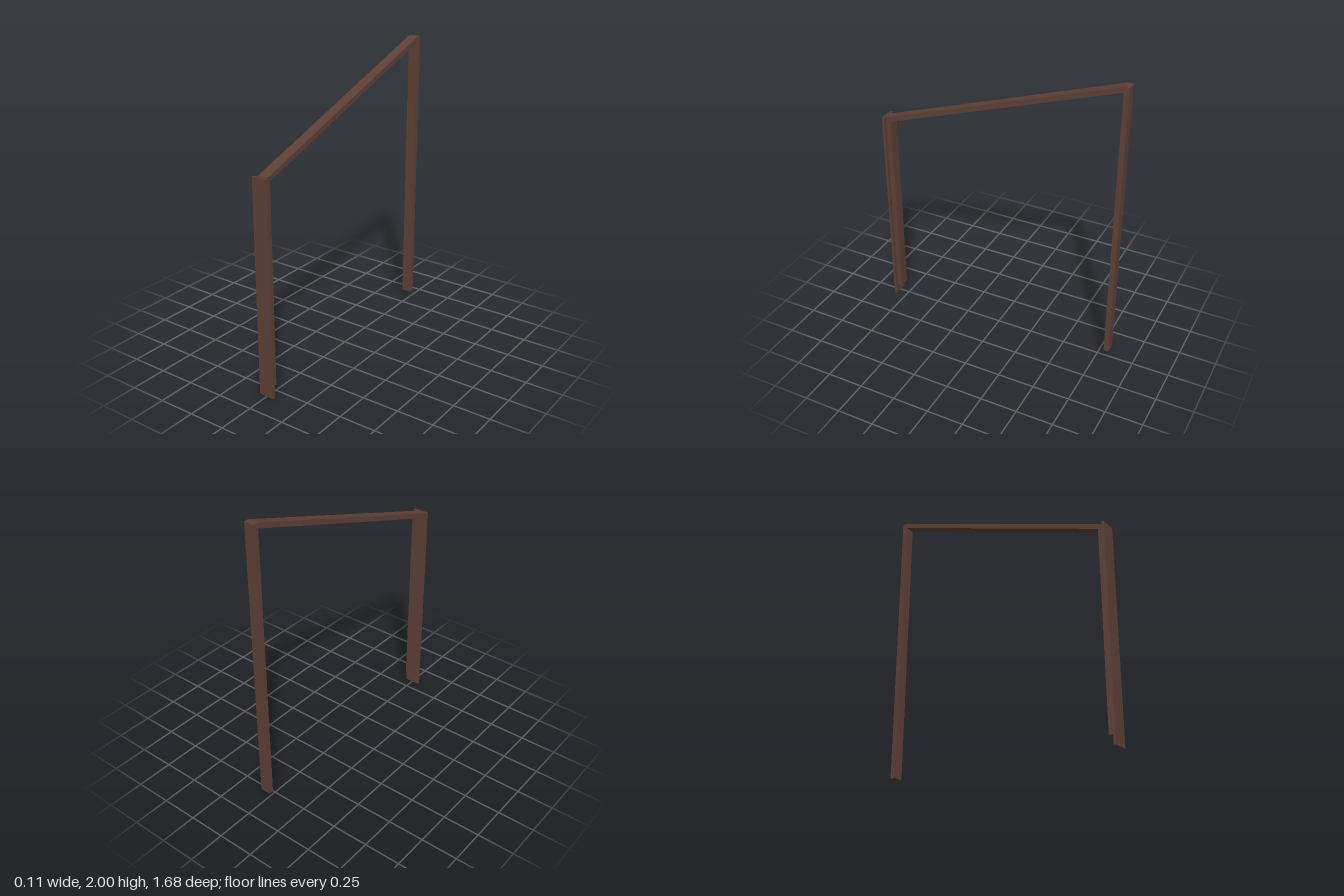
import * as THREE from 'three';

export function createModel() {
  const group = new THREE.Group();
  const brown = new THREE.MeshStandardMaterial({ color: 0x5d4037 });
  brown.name = 'dark brown';

  const add = (name, geometry) => {
    const mesh = new THREE.Mesh(geometry, brown);
    mesh.name = name;
    group.add(mesh);
  };

  // Upright board spanning y0..y1 and z0..z1, centred on x
  const board = (name, width, y0, y1, z0, z1) => {
    const geometry = new THREE.BoxGeometry(width, y1 - y0, z1 - z0);
    geometry.translate(0, (y0 + y1) / 2, (z0 + z1) / 2);
    add(name, geometry);
  };

  const width = 0.07;
  board('frontPanel', 0.11, 0, 1.447, 0.823, 0.838);
  board('frontPost', width, 0.07, 1.447, 0.784, 0.818);
  board('backPost', width, 0.07, 2, -0.838, -0.804);

  // Sloping rail: side profile as (z, y), extruded across x
  const profile = new THREE.Shape([
    [0.784, 1.418], [0.804, 1.447], [-0.804, 2], [-0.804, 1.965],
  ].map(([z, y]) => new THREE.Vector2(z, y)));
  const rail = new THREE.ExtrudeGeometry(profile, { depth: width, bevelEnabled: false });
  rail.translate(0, 0, -width / 2);
  rail.rotateY(-Math.PI / 2);
  add('slopingRail', rail);

  return group;
}
